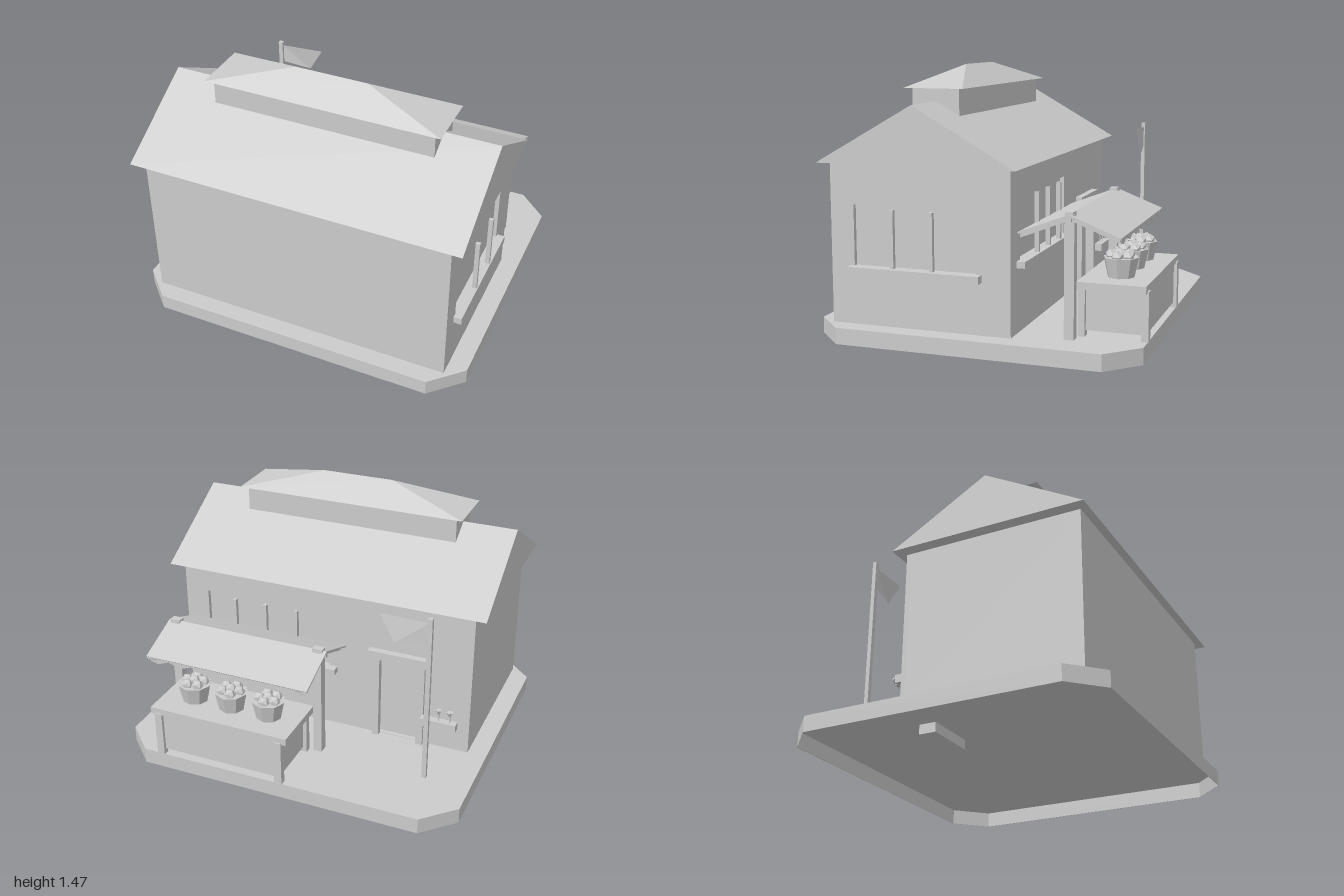
import * as THREE from 'three';

const grey = new THREE.MeshStandardMaterial({ color: 0xcccccc, flatShading: true, side: THREE.DoubleSide });
grey.name = 'plain grey';

export function createModel() {
  const model = new THREE.Group();
  model.name = 'marketHouse';

  const add = (name, geometry) => {
    const mesh = new THREE.Mesh(geometry, grey);
    mesh.name = name;
    model.add(mesh);
    return mesh;
  };
  // Box given by its limits on each axis
  const box = (name, x0, x1, y0, y1, z0, z1) => {
    const m = add(name, new THREE.BoxGeometry(x1 - x0, y1 - y0, z1 - z0));
    m.position.set((x0 + x1) / 2, (y0 + y1) / 2, (z0 + z1) / 2);
    return m;
  };
  const shapeOf = (pts) => new THREE.Shape(pts.map(([a, b]) => new THREE.Vector2(a, b)));
  const rect = (a0, a1, b0, b1) => shapeOf([[a0, b0], [a1, b0], [a1, b1], [a0, b1]]);
  const extrude = (shape, depth) => new THREE.ExtrudeGeometry(shape, { depth, bevelEnabled: false });
  // Profile in (z, y), swept from x0 to x1
  const sweepX = (name, shape, x0, x1) =>
    add(name, extrude(shape, x1 - x0).rotateY(-Math.PI / 2).translate(x1, 0, 0));

  // Hollow base slab with cut corners
  const outline = (d) => {
    const X = 1 - d, Z = 0.9 - d, cx = 0.825, cz = 0.73;
    return shapeOf([[X, -cz], [X, cz], [cx, Z], [-cx, Z], [-X, cz], [-X, -cz], [-cx, -Z], [cx, -Z]]);
  };
  const rim = outline(0);
  rim.holes.push(outline(0.003));
  add('baseRim', extrude(rim, 0.09).rotateX(-Math.PI / 2));
  add('baseTop', new THREE.ShapeGeometry(outline(0)).rotateX(-Math.PI / 2).translate(0, 0.09, 0));
  box('doorSill', -0.62, -0.31, 0.035, 0.091, -0.27, -0.17);

  // House body: core plus pierced side and back walls
  box('houseCore', -0.89, 0.865, 0.09, 0.965, -0.195, 0.8);
  const sideWall = rect(-0.22, 0.8, 0.09, 0.965);
  sideWall.holes.push(rect(-0.035, 0.665, 0.41, 0.74));
  sweepX('sideWall', sideWall, 0.865, 0.89);
  const backWall = rect(-0.89, 0.865, 0.09, 0.965);
  backWall.holes.push(rect(-0.035, 0.745, 0.475, 0.81), rect(-0.6, -0.335, 0.095, 0.6));
  add('backWall', extrude(backWall, 0.025)).position.z = -0.22;

  // Side window
  box('sideWindowSill', 0.885, 0.935, 0.37, 0.41, -0.06, 0.69);
  for (const z of [0.205, 0.428]) box('sideWindowBar', 0.905, 0.93, 0.415, 0.727, z - 0.01, z + 0.01);

  // Back window
  box('backWindowSill', -0.085, 0.8, 0.44, 0.475, -0.267, -0.215);
  for (const x of [0.16, 0.355, 0.55]) box('backWindowBar', x - 0.011, x + 0.011, 0.48, 0.805, -0.262, -0.237);

  // Door frame
  for (const x of [-0.335, -0.605]) box('doorPost', x - 0.02, x + 0.02, 0.09, 0.6, -0.252, -0.215);
  box('doorLintel', -0.655, -0.285, 0.6, 0.65, -0.26, -0.215);

  // Flower box
  box('flowerBox', -0.83, -0.62, 0.255, 0.3, -0.297, -0.252);
  for (const x of [-0.79, -0.725, -0.66]) {
    add('flowerStem', new THREE.CylinderGeometry(0.004, 0.004, 0.05, 5)).position.set(x, 0.32, -0.275);
    add('flower', new THREE.CylinderGeometry(0.019, 0.006, 0.028, 6)).position.set(x, 0.355, -0.275);
  }

  // Main roof
  sweepX('mainRoof', shapeOf([[-0.27, 0.965], [0.845, 0.965], [0.29, 1.28]]), -0.96, 0.96);

  // Roof lantern with a hipped cap
  box('lantern', -0.645, 0.645, 1.15, 1.352, 0.155, 0.425);
  const hip = new THREE.BoxGeometry(1.37, 0.115, 0.34);
  const p = hip.attributes.position;
  for (let i = 0; i < p.count; i++) {
    if (p.getY(i) > 0) p.setXYZ(i, Math.sign(p.getX(i)) * 0.21, p.getY(i), 0);
  }
  add('lanternRoof', hip).position.set(0, 1.4075, 0.29);

  // Flagpole and pennant
  box('flagpole', -0.748, -0.722, 0.09, 1.075, -0.543, -0.52);
  const flag = new THREE.BufferGeometry();
  flag.setAttribute('position', new THREE.Float32BufferAttribute([
    -0.73, 1.05, -0.535, -0.73, 0.935, -0.535, -0.55, 0.908, -0.562, -0.46, 1.06, -0.545], 3));
  flag.setIndex([0, 2, 1, 0, 3, 2]);
  flag.computeVertexNormals();
  add('pennant', flag);

  // Stall counter
  box('counterBody', -0.02, 0.715, 0.12, 0.35, -0.885, -0.545);
  box('counterTop', -0.07, 0.765, 0.345, 0.385, -0.895, -0.53);
  for (const x of [-0.02, 0.715]) {
    for (const z of [-0.885, -0.55]) box('counterLeg', x - 0.022, x + 0.022, 0.09, 0.355, z - 0.019, z + 0.019);
  }

  // Fruit baskets
  for (const x of [0.115, 0.345, 0.575]) {
    add('basket', new THREE.CylinderGeometry(0.094, 0.072, 0.105, 8)).position.set(x, 0.438, -0.718);
    for (let i = 0; i < 5; i++) {
      const a = i * Math.PI * 0.4 + x * 9;
      add('fruit', new THREE.IcosahedronGeometry(0.034, 0))
        .position.set(x + Math.cos(a) * 0.05, 0.498, -0.718 + Math.sin(a) * 0.05);
    }
    add('fruit', new THREE.IcosahedronGeometry(0.034, 0)).position.set(x, 0.504, -0.718);
  }

  // Awning posts and ridge beam
  for (const x of [-0.095, 0.795]) {
    box('awningPost', x - 0.025, x + 0.025, 0.09, 0.74, -0.535, -0.482);
    box('postCap', x - 0.03, x + 0.03, 0.715, 0.752, -0.53, -0.487);
  }
  box('ridgeBeam', -0.145, 0.84, 0.705, 0.735, -0.522, -0.498);

  // Awning: thin sheets on rafters, scalloped along both low edges
  for (const s of [-1, 1]) {
    const slope = (thick) => shapeOf([
      [-0.51, 0.742], [-0.51 + s * 0.272, 0.637], [-0.51 + s * 0.265, 0.637 - thick], [-0.51, 0.742 - thick]]);
    sweepX('awningSheet', slope(0.008), -0.145, 0.84);
    for (const x of [-0.095, 0.795]) sweepX('awningRafter', slope(0.032), x - 0.02, x + 0.02);
    const teeth = [[0.84, 0.635], [-0.145, 0.635]];
    for (let i = 0; i <= 14; i++) teeth.push([-0.145 + i * 0.985 / 14, i % 2 ? 0.598 : 0.625]);
    add('awningScallops', extrude(shapeOf(teeth), 0.006)).position.z = -0.513 + s * 0.265;
  }
  return model;
}
